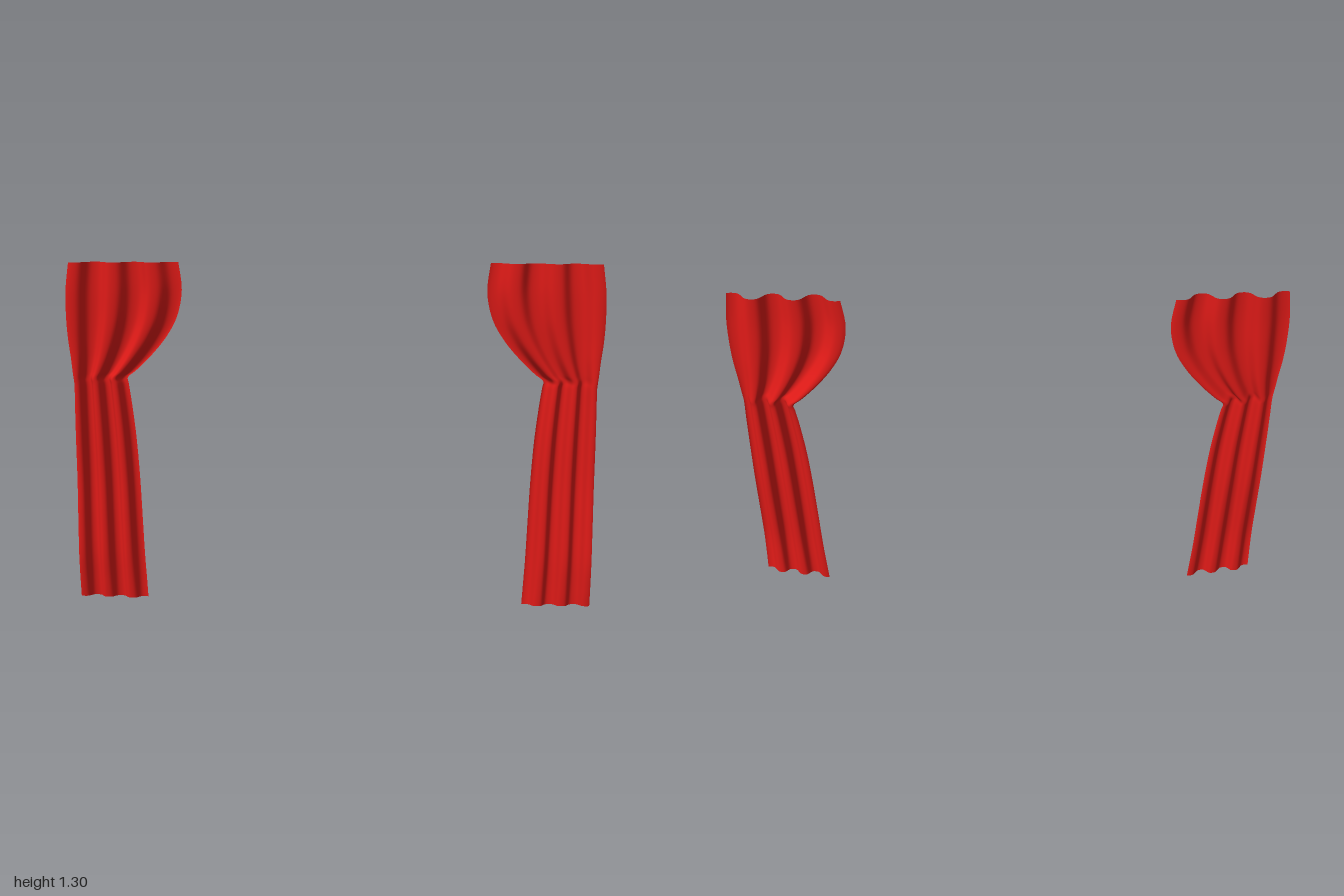
import * as THREE from 'three';

// Outline of one curtain: [height, inner x, outer x, inner z, outer z, fold depth]
const ROWS = [
  [0.00, 0.727, 0.98, -0.011, 0.016, 0.013],
  [0.07, 0.731, 0.98, -0.012, 0.022, 0.015],
  [0.18, 0.737, 0.98, -0.012, 0.027, 0.017],
  [0.32, 0.742, 0.98, -0.013, 0.019, 0.018],
  [0.48, 0.748, 0.98, -0.014, 0.008, 0.019],
  [0.64, 0.758, 0.98, -0.014, 0.006, 0.020],
  [0.77, 0.772, 0.979, -0.016, 0.005, 0.020],
  [0.84, 0.782, 0.978, -0.019, 0.005, 0.020],
  [0.868, 0.785, 0.98, -0.022, 0.005, 0.021],
  [0.895, 0.752, 0.983, -0.023, 0.005, 0.021],
  [0.95, 0.695, 0.988, -0.022, 0.004, 0.021],
  [1.02, 0.636, 0.996, -0.020, 0.004, 0.021],
  [1.10, 0.591, 1.00, -0.018, 0.005, 0.021],
  [1.20, 0.570, 0.998, -0.017, 0.006, 0.021],
  [1.305, 0.581, 0.985, -0.017, 0.003, 0.021],
];
const ACROSS = 72, STEPS = 6;

// Smooth value of one outline column at a fractional row
function sample(t, column) {
  const last = ROWS.length - 1;
  const i = Math.min(Math.floor(t), last - 1), f = t - i;
  const at = k => ROWS[THREE.MathUtils.clamp(k, 0, last)][column];
  const m0 = (at(i + 1) - at(i - 1)) / 2, m1 = (at(i + 2) - at(i)) / 2;
  const f2 = f * f, f3 = f2 * f;
  return at(i) * (2 * f3 - 3 * f2 + 1) + m0 * (f3 - 2 * f2 + f)
    + at(i + 1) * (3 * f2 - 2 * f3) + m1 * (f3 - f2);
}

// One pleated cloth; side is +1 or -1
function curtain(side, material) {
  const positions = [], index = [];
  const up = (ROWS.length - 1) * STEPS;
  for (let j = 0; j <= up; j++) {
    const [y, inner, outer, zIn, zOut, depth] = [0, 1, 2, 3, 4, 5].map(c => sample(j / STEPS, c));
    for (let i = 0; i <= ACROSS; i++) {
      const s = i / ACROSS;
      // three forward folds, slightly flattened at their crests
      const wave = -Math.cos((s - 0.05) / 0.36 * Math.PI * 2);
      const fold = Math.tanh(1.4 * wave) / Math.tanh(1.4);
      const hem = 0.014 * s * Math.max(0, 1 - y / 0.3);
      positions.push(
        side * THREE.MathUtils.lerp(inner, outer, s),
        y + hem,
        THREE.MathUtils.lerp(zIn, zOut, s) + depth * fold);
      if (i < ACROSS && j < up) {
        const a = j * (ACROSS + 1) + i, b = a + 1, c = a + ACROSS + 1, d = c + 1;
        if (side > 0) index.push(a, b, d, a, d, c);
        else index.push(a, d, b, a, c, d);
      }
    }
  }
  const geometry = new THREE.BufferGeometry();
  geometry.setAttribute('position', new THREE.Float32BufferAttribute(positions, 3));
  geometry.setIndex(index);
  geometry.computeVertexNormals();
  const mesh = new THREE.Mesh(geometry, material);
  mesh.name = side > 0 ? 'leftCurtain' : 'rightCurtain';
  return mesh;
}

export function createModel() {
  const group = new THREE.Group();
  group.name = 'curtains';
  const cloth = new THREE.MeshStandardMaterial({ color: 0xdd1a17, side: THREE.DoubleSide });
  for (const side of [-1, 1]) group.add(curtain(side, cloth));
  return group;
}
